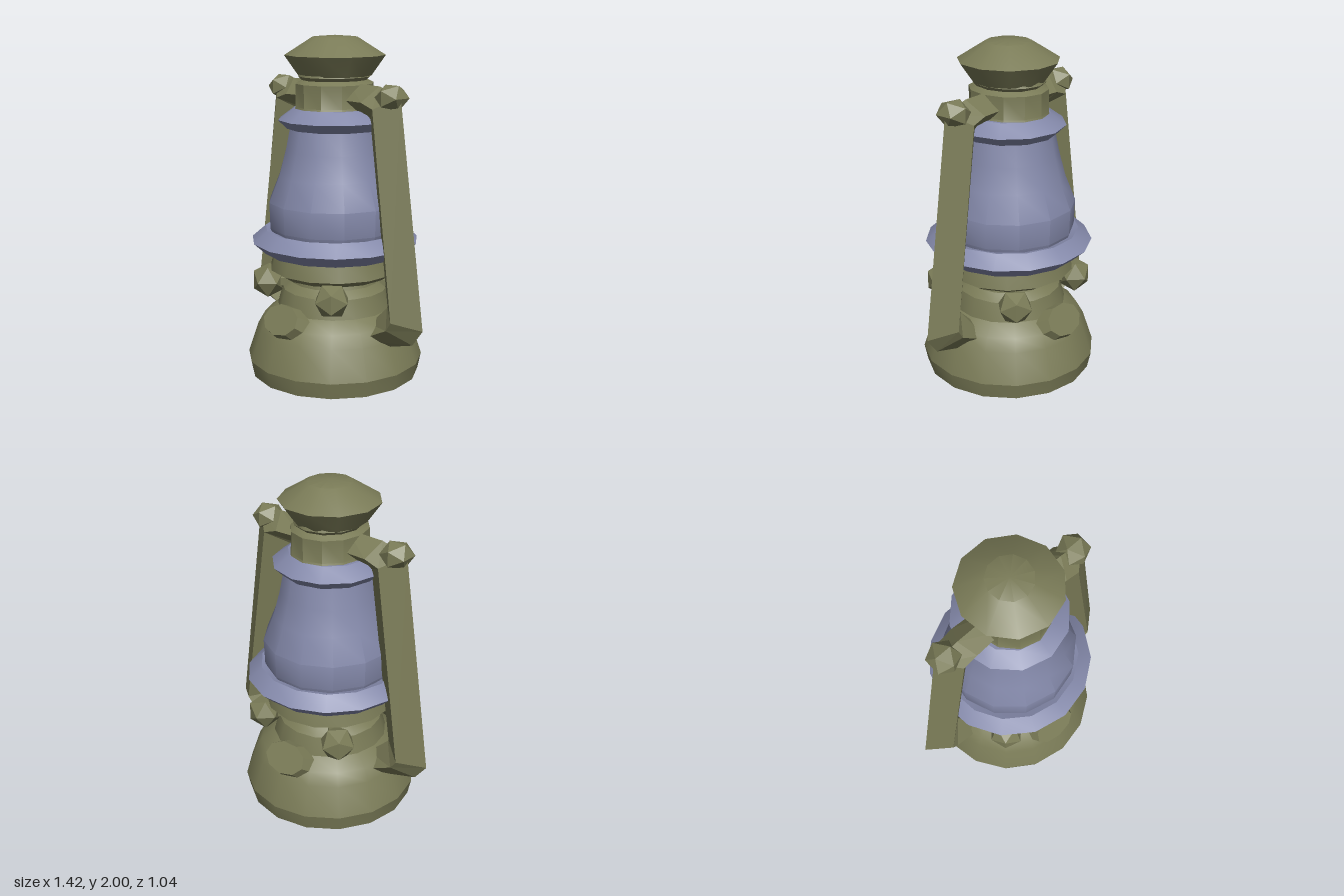
import * as THREE from 'three';
import { toCreasedNormals } from 'three/addons/utils/BufferGeometryUtils.js';

const metal = new THREE.MeshStandardMaterial({ color: 0x7a7b57, flatShading: true });
const metalSmooth = new THREE.MeshStandardMaterial({ color: 0x7a7b57 });
const blue = new THREE.MeshStandardMaterial({ color: 0x8489aa });

function add(parent, name, geometry, material) {
  const mesh = new THREE.Mesh(geometry, material);
  mesh.name = name;
  parent.add(mesh);
  return mesh;
}

// Turned part from [radius, height] pairs, listed from bottom to top
function turned(parent, name, profile, sides, material) {
  const points = profile.map(([r, y]) => new THREE.Vector2(r, y));
  const geometry = toCreasedNormals(new THREE.LatheGeometry(points, sides), 0.5);
  return add(parent, name, geometry, material);
}

// Side tube with a diamond section: each row is outer x, y, inner x, y, half depth
function tubeGeometry(rows) {
  const positions = [];
  const index = [];
  rows.forEach(([ox, oy, ix, iy, d], i) => {
    const mx = (ox + ix) / 2, my = (oy + iy) / 2;
    positions.push(ox, oy, 0, mx, my, d, ix, iy, 0, mx, my, -d);
    if (i === rows.length - 1) return;
    for (let k = 0; k < 4; k++) {
      const a = i * 4 + k, b = i * 4 + (k + 1) % 4;
      index.push(a, b, b + 4, a, b + 4, a + 4);
    }
  });
  const geometry = new THREE.BufferGeometry();
  geometry.setAttribute('position', new THREE.Float32BufferAttribute(positions, 3));
  geometry.setIndex(index);
  geometry.computeVertexNormals();
  return geometry;
}

export function createModel() {
  const lantern = new THREE.Group();
  lantern.name = 'lantern';

  // Fuel tank and burner
  turned(lantern, 'fuelTank', [
    [0, 0], [0.5, 0.015], [0.52, 0.11], [0.46, 0.29], [0.42, 0.36], [0.34, 0.42],
    [0.31, 0.53], [0.26, 0.57], [0.24, 0.64],
  ], 16, metalSmooth);
  turned(lantern, 'burnerCollar', [
    [0.2, 0.6], [0.32, 0.61], [0.385, 0.65], [0.36, 0.75], [0.3, 0.77],
  ], 14, metalSmooth);

  // Glass and the rings that hold it
  turned(lantern, 'lowerRing', [
    [0.3, 0.75], [0.42, 0.755], [0.49, 0.82], [0.41, 0.89], [0.34, 0.87],
  ], 15, blue);
  turned(lantern, 'glass', [
    [0.36, 0.84], [0.385, 0.9], [0.39, 1.05], [0.33, 1.2], [0.29, 1.35], [0.26, 1.5],
  ], 13, blue);
  turned(lantern, 'upperRing', [
    [0.2, 1.47], [0.28, 1.475], [0.33, 1.525], [0.24, 1.59], [0.2, 1.59],
  ], 12, blue);

  // Chimney and cap
  turned(lantern, 'chimney', [
    [0.24, 1.55], [0.215, 1.6], [0.215, 1.73], [0.18, 1.75], [0.2, 1.77], [0.19, 1.8],
  ], 12, metalSmooth).scale.z = 1.09;
  turned(lantern, 'cap', [
    [0, 1.77], [0.21, 1.775], [0.29, 1.89], [0.13, 1.99], [0, 2],
  ], 11, metalSmooth);

  // Side tubes with a knot at the top corner
  const tube = tubeGeometry([
    [0.12, 1.74, 0.12, 1.56, 0.09],
    [0.36, 1.735, 0.27, 1.565, 0.1],
    [0.52, 1.69, 0.29, 1.55, 0.1],
    [0.71, 0.42, 0.44, 0.5, 0.115],
    [0.635, 0.32, 0.435, 0.49, 0.11],
    [0.32, 0.22, 0.3, 0.36, 0.1],
  ]);
  for (const turn of [0, Math.PI]) {
    const side = new THREE.Group();
    side.name = turn ? 'rightSide' : 'leftSide';
    side.rotation.y = turn;
    add(side, 'sideTube', tube, metal);
    const knot = add(side, 'tubeKnot', new THREE.IcosahedronGeometry(1, 0), metal);
    knot.scale.set(0.095, 0.08, 0.1);
    knot.position.set(0.455, 1.68, 0);
    lantern.add(side);
  }

  // Filler lids on the front and back of the tank
  for (const turn of [0, Math.PI]) {
    const holder = new THREE.Group();
    holder.name = turn ? 'backLid' : 'frontLid';
    holder.rotation.y = turn;
    const lid = add(holder, 'fillerLid', new THREE.CylinderGeometry(0.85, 1, 1, 9), metal);
    lid.scale.set(0.165, 0.08, 0.11);
    lid.rotation.x = 0.98;
    lid.position.set(0, 0.385, 0.39);
    lantern.add(holder);
  }

  // Four burner knobs on the diagonals
  for (let i = 0; i < 4; i++) {
    const knob = new THREE.Group();
    knob.name = 'knob';
    knob.rotation.y = Math.PI / 4 + i * Math.PI / 2;
    const head = add(knob, 'knobHead', new THREE.IcosahedronGeometry(0.105, 0), metal);
    head.position.set(0, 0.555, 0.395);
    const stem = add(knob, 'knobStem', new THREE.CylinderGeometry(0.045, 0.045, 0.2, 6), metal);
    stem.rotation.x = Math.PI / 2;
    stem.position.set(0, 0.555, 0.28);
    lantern.add(knob);
  }

  return lantern;
}
